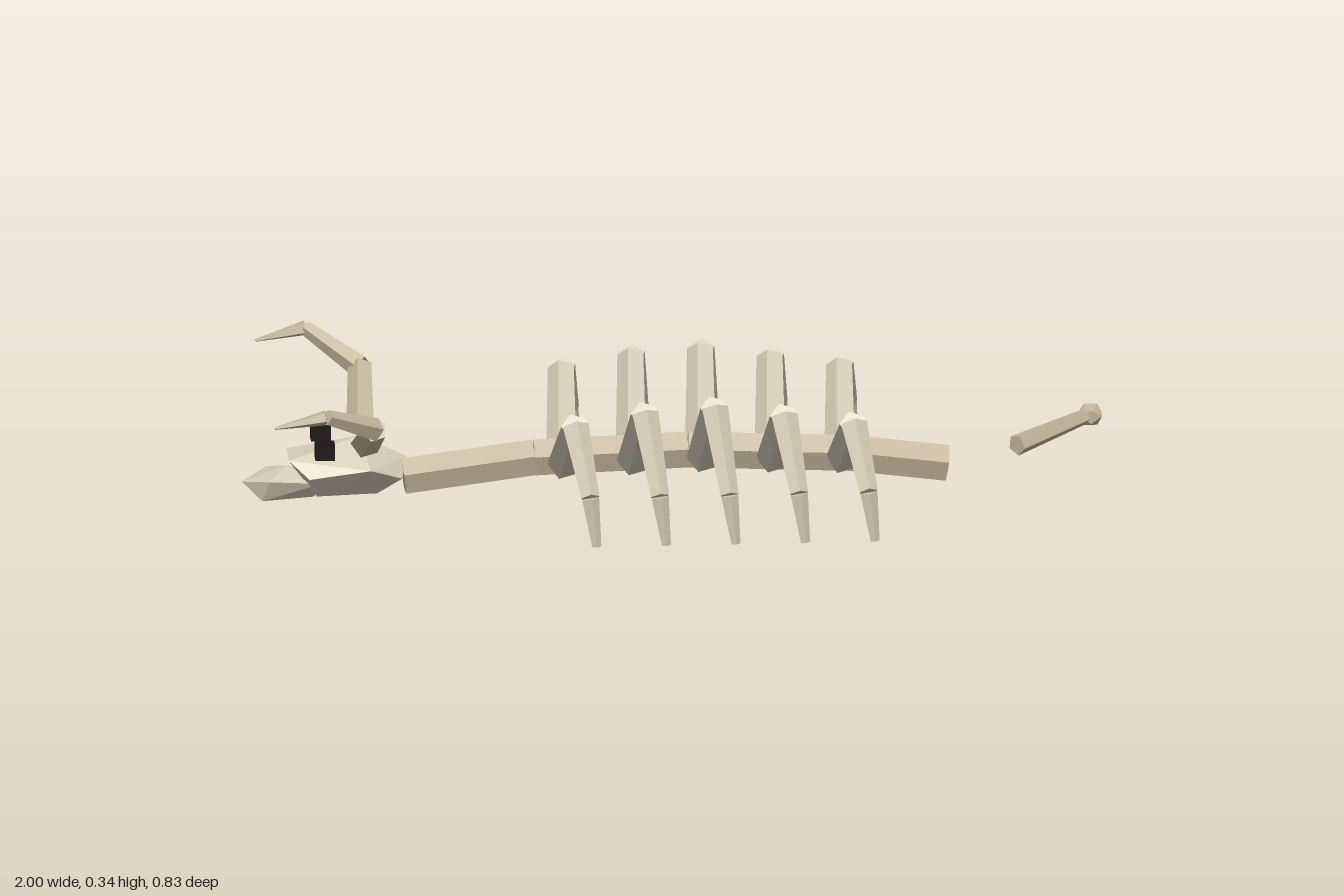
import * as THREE from 'three';
import { ConvexGeometry } from 'three/addons/geometries/ConvexGeometry.js';

const MID = 0.055; // z of the skeleton's mirror plane
const mat = (color) => new THREE.MeshStandardMaterial({ color, flatShading: true });
const V = (p) => new THREE.Vector3(...p);

export function createModel() {
  const model = new THREE.Group();
  const bone = mat(0xc2b59a), paleBone = mat(0xd2c9b4), dark = mat(0x1c1614);

  function add(parent, name, geometry, material) {
    const mesh = new THREE.Mesh(geometry, material);
    mesh.name = name;
    parent.add(mesh);
    return mesh;
  }

  // Tapered five-sided bone between two points
  function strut(parent, name, a, b, ra, rb, material) {
    const from = V(a), to = V(b), dir = to.clone().sub(from);
    const geo = new THREE.CylinderGeometry(rb, ra, dir.length(), 5, 1, false, -Math.PI / 2);
    const mesh = add(parent, name, geo, material);
    mesh.position.copy(from).add(to).multiplyScalar(0.5);
    mesh.quaternion.setFromUnitVectors(new THREE.Vector3(0, 1, 0), dir.normalize());
  }

  // Chain of struts through a list of points
  function chain(parent, name, points, radii, material) {
    const group = new THREE.Group();
    group.name = name;
    parent.add(group);
    for (let i = 0; i < points.length - 1; i++) {
      strut(group, name + 'Segment', points[i], points[i + 1], radii[i][0], radii[i][1], material);
    }
  }

  // Spine: a shallow arch
  const spine = [
    [-0.63, 0.068, 0.05], [-0.33, 0.103, 0.04], [0.02, 0.116, 0.045],
    [0.38, 0.104, 0.057], [0.612, 0.073, 0.054],
  ];
  chain(model, 'spine', spine, spine.map(() => [0.043, 0.043]), bone);

  // Ribs: five pairs, rising from the spine and bending down to the ground
  const peaks = [0.25, 0.277, 0.287, 0.265, 0.242];
  peaks.forEach((peak, i) => {
    const x = -0.265 + i * 0.159;
    const rootY = 0.105 - Math.abs(i - 2) * 0.004;
    for (const s of [1, -1]) {
      chain(model, s > 0 ? 'leftRib' : 'rightRib', [
        [x, rootY, MID + s * 0.02],
        [x + 0.012, peak, MID + s * 0.22],
        [x + 0.038, 0.115, MID + s * 0.335],
        [x + 0.052, 0.003, MID + s * 0.347],
      ], [[0.038, 0.032], [0.032, 0.022], [0.021, 0.011]], paleBone);
    }
  });

  // Skull and snout: faceted hulls
  add(model, 'skull', new ConvexGeometry([
    [-0.895, 0.13, 0.015], [-0.895, 0.125, 0.095], [-0.73, 0.168, 0.05],
    [-0.622, 0.11, 0.03], [-0.635, 0.075, 0.09], [-0.75, 0.11, -0.03],
    [-0.71, 0.11, 0.138], [-0.85, 0.09, 0.132], [-0.86, 0.09, -0.02],
    [-0.83, 0.035, 0.03], [-0.83, 0.035, 0.085], [-0.69, 0.03, 0.055],
  ].map(V)), paleBone);
  add(model, 'snout', new ConvexGeometry([
    [-1.0, 0.068, 0.065], [-0.955, 0.028, 0.09], [-0.955, 0.028, 0.035],
    [-0.94, 0.085, 0.005], [-0.94, 0.08, 0.112], [-0.9, 0.103, 0.06],
    [-0.82, 0.07, 0.02], [-0.82, 0.07, 0.1], [-0.835, 0.027, 0.06],
  ].map(V)), paleBone);

  // Eyes and curved horns on both sides
  for (const s of [1, -1]) {
    const side = s > 0 ? 'left' : 'right';
    add(model, side + 'Eye', new THREE.BoxGeometry(0.045, 0.036, 0.04), dark)
      .position.set(-0.815, 0.158, MID + s * 0.073);
    chain(model, side + 'Horn', [
      [-0.722, 0.172, MID + s * 0.07],
      [-0.712, 0.258, MID + s * 0.235],
      [-0.83, 0.322, MID + s * 0.335],
      [-0.947, 0.296, MID + s * 0.328],
    ], [[0.034, 0.029], [0.028, 0.018], [0.018, 0.003]], bone);
  }

  // Loose bone lying apart, with a knobbed end
  strut(model, 'looseBone', [0.79, 0.027, -0.21], [0.965, 0.037, -0.39], 0.025, 0.018, bone);
  add(model, 'looseBoneKnob', new THREE.IcosahedronGeometry(0.03, 0), bone)
    .position.set(0.971, 0.038, -0.393);

  return model;
}
